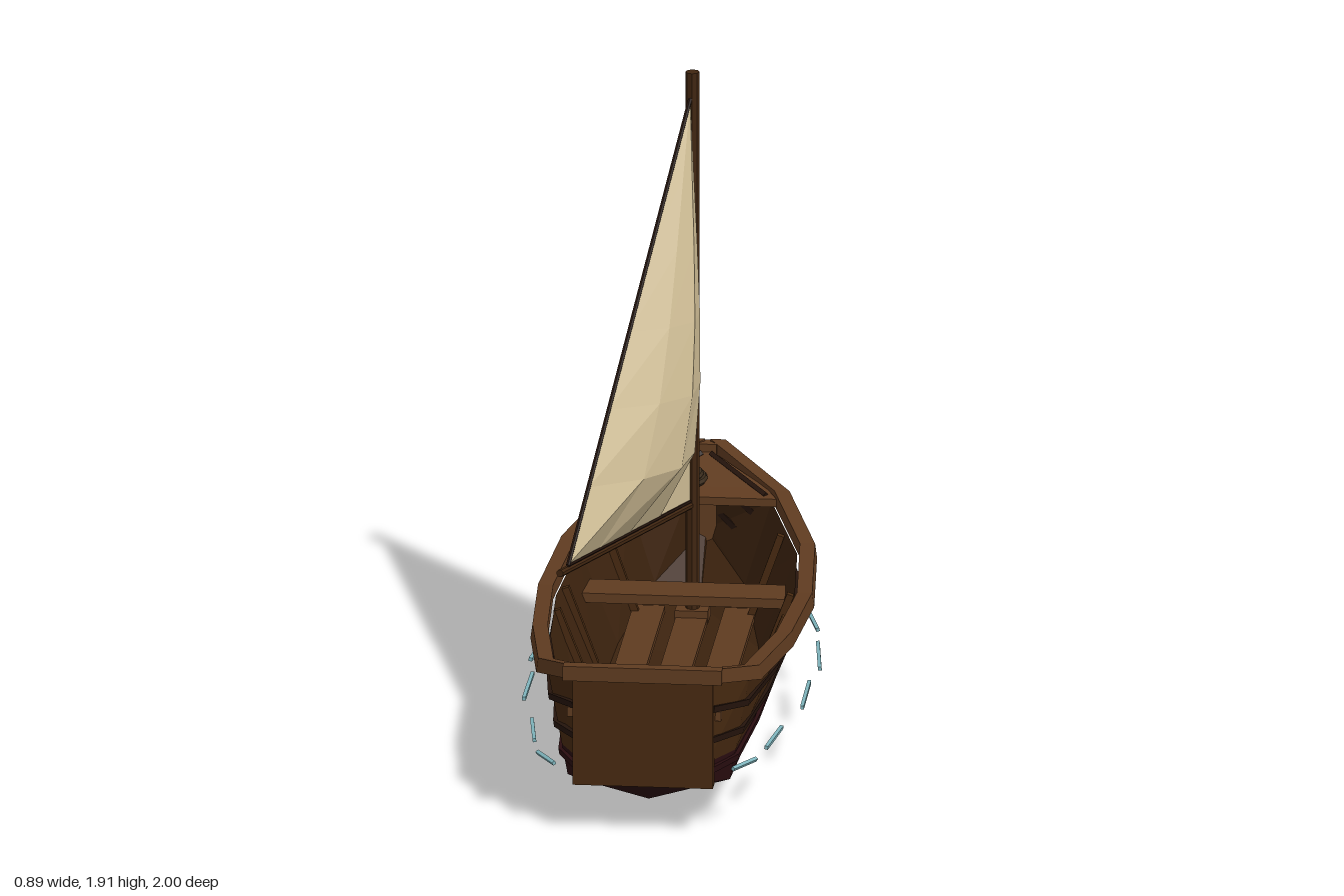
import * as THREE from 'three';

const mat = (name, color, double) => {
  const m = new THREE.MeshStandardMaterial({ color, flatShading: true });
  m.name = name;
  if (double) m.side = THREE.DoubleSide;
  return m;
};

export function createModel() {
  const M = {
    rail: mat('rail wood', 0x5f3b20),
    hull: mat('hull wood', 0x462910),
    inner: mat('inner planking', 0x3b220e),
    bottom: mat('bottom paint', 0x2a0d10),
    trim: mat('dark trim', 0x25140c),
    mast: mat('spar wood', 0x402510),
    sail: mat('sail cloth', 0xcfbd95, true),
    rope: mat('rope', 0x3a2c1c),
    water: mat('ripple', 0x7fb4bc),
  };
  const boat = new THREE.Group();
  boat.name = 'sailingDinghy';
  const V = (x, y, z) => new THREE.Vector3(x, y, z);
  const add = (name, geo, m, x = 0, y = 0, z = 0) => {
    const mesh = new THREE.Mesh(geo, m);
    mesh.name = name;
    mesh.position.set(x, y, z);
    boat.add(mesh);
    return mesh;
  };
  const box = (name, w, h, d, x, y, z, m) => add(name, new THREE.BoxGeometry(w, h, d), m, x, y, z);

  // straight pieces between two points
  const between = (name, geo, p, q, m) => {
    const mesh = add(name, geo, m);
    mesh.position.copy(p).add(q).multiplyScalar(0.5);
    mesh.quaternion.setFromUnitVectors(V(0, 1, 0), q.clone().sub(p).normalize());
    return mesh;
  };
  const bar = (name, p, q, w, d, m) => between(name, new THREE.BoxGeometry(w, p.distanceTo(q), d), p, q, m);
  const rod = (name, p, q, r, m, n = 8) => between(name, new THREE.CylinderGeometry(r, r, p.distanceTo(q), n), p, q, m);

  // skin over cross-sections; closed sections also get end caps
  const loft = (name, rings, m, closed = false) => {
    const out = [];
    const tri = (a, b, c) => out.push(...a, ...b, ...c);
    const n = rings[0].length;
    for (let i = 0; i < rings.length - 1; i++) {
      for (let j = 0; j < (closed ? n : n - 1); j++) {
        const k = (j + 1) % n, a = rings[i], b = rings[i + 1];
        tri(a[j], a[k], b[j]);
        tri(a[k], b[k], b[j]);
      }
    }
    if (closed) {
      const a = rings[0], b = rings[rings.length - 1];
      for (let j = 1; j < n - 1; j++) {
        tri(a[0], a[j + 1], a[j]);
        tri(b[0], b[j], b[j + 1]);
      }
    }
    const g = new THREE.BufferGeometry();
    g.setAttribute('position', new THREE.Float32BufferAttribute(out, 3));
    g.computeVertexNormals();
    return add(name, g, m);
  };
  const mirrorRings = (rings, s) => s > 0 ? rings : rings.map(r => r.map(([x, y, z]) => [-x, y, z]).reverse());

  // hull stations: z, rail half width, rail top, keel, chine height, chine half width, paint line
  const stations = [
    [0.965, 0.24, 0.525, 0.15, 0.16, 0.19, 0.225],
    [0.8, 0.34, 0.485, 0.05, 0.12, 0.245, 0.215],
    [0.4, 0.397, 0.457, 0.01, 0.09, 0.25, 0.205],
    [0, 0.42, 0.447, 0, 0.08, 0.25, 0.2],
    [-0.4, 0.389, 0.467, 0.035, 0.11, 0.23, 0.21],
    [-0.75, 0.277, 0.512, 0.11, 0.19, 0.155, 0.245],
    [-0.985, 0.06, 0.59, 0.265, 0.29, 0.018, 0.315],
  ].map(([z, hw, s, k, c, cw, w]) => {
    const sx = Math.max(hw - 0.035, 0.03), sy = s - 0.035;
    const sideX = y => cw + (sx - cw) * (y - c) / (sy - c);
    return { z, hw, s, k, c, cw, w, sx, sy, sideX };
  });
  const both = half => [...half, ...half.slice(0, -1).reverse().map(([x, y, z]) => [-x, y, z])];

  loft('hullBottom', stations.map(t => both([[t.sideX(t.w), t.w, t.z], [t.cw, t.c, t.z], [0, t.k, t.z]])), M.bottom);
  loft('hullInside', stations.map(t => {
    const f = Math.max(t.k + 0.03, 0.1), y = Math.max(t.c + 0.02, f);
    return both([[Math.max(t.sx - 0.025, 0.006), t.sy, t.z],
      [Math.max(t.sideX(y) - 0.025, 0.004), y, t.z], [0, f, t.z]]).reverse();
  }), M.inner);

  for (const s of [1, -1]) {
    const side = s > 0 ? 'left' : 'right';
    loft(side + 'Topside', mirrorRings(stations.map(t => [[t.sx, t.sy, t.z], [t.sideX(t.w), t.w, t.z]]), s), M.hull);
    // gunwale with a square section
    loft(side + 'Rail', mirrorRings(stations.map(t => {
      const i = Math.max(t.hw - 0.052, 0.004);
      return [[t.hw - 0.006, t.s, t.z], [t.hw, t.s - 0.045, t.z], [i, t.s - 0.045, t.z], [i, t.s, t.z]];
    }), s), M.rail, true);
    // lapped plank edges
    for (const f of [-0.1, 0.27, 0.64]) {
      loft(side + 'Strake', mirrorRings(stations.map(t => {
        const y = Math.max(t.w + f * (t.sy - t.w), t.c + 0.01), x = t.sideX(y), h = 0.01;
        return [[x + 0.015, y + h, t.z], [x + 0.012, y - h, t.z], [x - 0.012, y - h, t.z], [x - 0.008, y + h, t.z]];
      }), s), f < 0 ? M.bottom : M.trim, true);
    }
    // ribs: z, lower x, upper x, upper y
    for (const [z, x0, x1, y1] of [[-0.55, 0.17, 0.265, 0.44], [-0.09, 0.25, 0.34, 0.41], [0.12, 0.25, 0.345, 0.41]]) {
      bar(side + 'Rib', V(s * x0, 0.17, z), V(s * x1, y1, z), 0.022, 0.022, M.hull);
    }
    box(side + 'ThwartKnee', 0.035, 0.06, 0.025, s * 0.28, 0.32, 0.62, M.trim);
    // ripples beside the hull: x, z to x, z
    for (const [xa, za, xb, zb] of [[0.27, 0.96, 0.33, 0.86], [0.35, 0.753, 0.377, 0.555], [0.42, 0.367, 0.418, 0.126],
      [0.437, 0, 0.407, -0.244], [0.395, -0.362, 0.33, -0.609], [0.265, -0.727, 0.075, -0.984]]) {
      bar('ripple', V(s * xa, 0.207, za), V(s * xb, 0.207, zb), 0.011, 0.011, M.water);
    }
  }

  // stern and bow ends
  box('transom', 0.424, 0.34, 0.05, 0, 0.32, 0.962, M.hull);
  box('transomCap', 0.48, 0.046, 0.04, 0, 0.506, 0.98, M.rail);
  box('stemPost', 0.06, 0.31, 0.045, 0, 0.428, -0.9775, M.rail);
  loft('bowDeck', [[-0.72, 0.235, 0.495], [-0.78, 0.2, 0.508], [-0.96, 0.015, 0.56]].map(([z, w, y]) =>
    [[w, y, z], [w, y - 0.025, z], [-w, y - 0.025, z], [-w, y, z]]), M.rail, true);
  for (const s of [1, -1]) bar('deckTrim', V(s * 0.2, 0.5, -0.74), V(s * 0.015, 0.557, -0.945), 0.014, 0.014, M.trim);

  // coiled rope
  for (const [r, y] of [[0.062, 0.525], [0.05, 0.538]]) {
    add('ropeCoil', new THREE.TorusGeometry(r, 0.011, 6, 16), M.rope, -0.055, y, -0.81).rotation.x = Math.PI / 2 + 0.1;
  }

  // floorboards and seats
  for (const x of [-0.138, 0, 0.138]) box('floorboard', 0.096, 0.02, 1.34, x, 0.178, 0.07, M.rail);
  box('mastStep', 0.1, 0.04, 0.1, 0, 0.19, -0.54, M.rail);
  box('forwardThwart', 0.61, 0.03, 0.135, 0, 0.325, -0.312, M.rail);
  box('aftThwart', 0.575, 0.03, 0.135, 0, 0.32, 0.59, M.rail);
  box('sternSeat', 0.465, 0.03, 0.19, 0, 0.365, 0.845, M.rail);

  // mast, boom and sail
  rod('mast', V(0, 0.17, -0.525), V(0, 1.91, -0.525), 0.021, M.mast);
  rod('boom', V(0, 0.538, -0.525), V(-0.322, 0.573, 0.265), 0.012, M.mast);
  const peak = V(-0.005, 1.83, -0.508), tack = V(-0.005, 0.552, -0.508), clew = V(-0.3, 0.59, 0.235);
  const rows = [];
  for (let i = 0; i <= 6; i++) {
    const v = i / 6, ring = [];
    for (let j = 0; j <= 4; j++) {
      const u = j / 4;
      const p = tack.clone().lerp(clew, u).lerp(peak, v);
      const belly = 0.15 * Math.sin(Math.PI * u) * Math.sin(Math.PI * Math.sqrt(v));
      ring.push([p.x + 0.93 * belly, p.y, p.z + 0.37 * belly]);
    }
    rows.push(ring);
  }
  loft('sail', rows, M.sail);
  rod('leechRope', clew, peak, 0.007, M.trim, 6);
  rod('footRope', tack, clew, 0.006, M.trim, 6);
  return boat;
}
